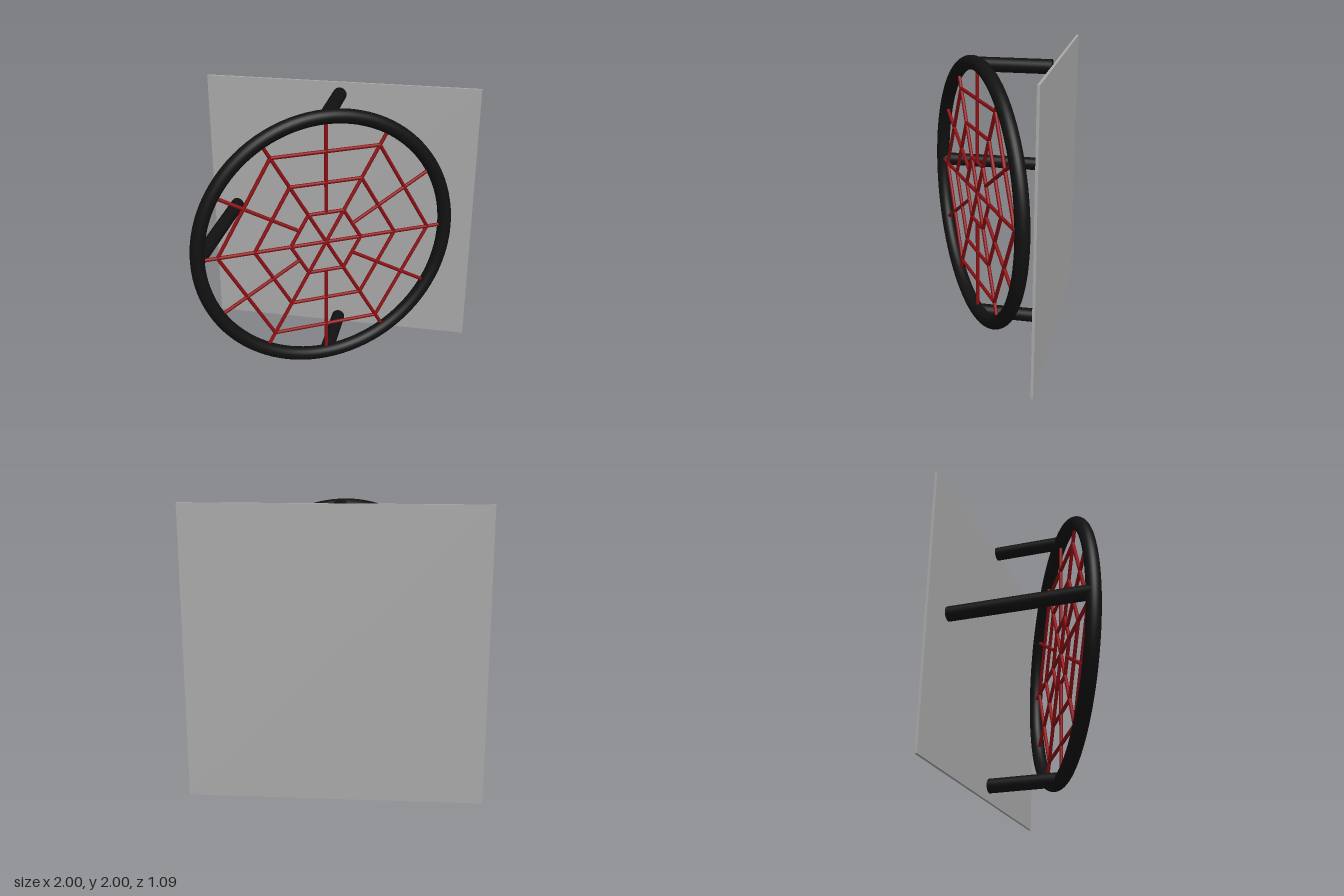
import * as THREE from 'three';

const RING_R = 0.925, TUBE_R = 0.05, ROD_R = 0.013, CENTER_Z = 0.035;

// Capped cylinder running from point a to point b
function rod(a, b, radius, material, name, sides = 16) {
  const dir = b.clone().sub(a);
  const mesh = new THREE.Mesh(new THREE.CylinderGeometry(radius, radius, dir.length(), sides), material);
  mesh.position.copy(a).add(b).multiplyScalar(0.5);
  mesh.quaternion.setFromUnitVectors(new THREE.Vector3(0, 1, 0), dir.normalize());
  mesh.name = name;
  return mesh;
}

// Point in the plane of the ring
function polar(r, degrees) {
  const a = THREE.MathUtils.degToRad(degrees);
  return new THREE.Vector3(r * Math.cos(a), r * Math.sin(a), 0);
}

export function createModel() {
  const black = new THREE.MeshStandardMaterial({ name: 'black tube', color: 0x111111 });
  const red = new THREE.MeshStandardMaterial({ name: 'dark red', color: 0x8b0f13 });
  const grey = new THREE.MeshStandardMaterial({ name: 'wall grey', color: 0xaaaaaa });
  const model = new THREE.Group();
  model.name = 'wallWeb';

  // Thin square wall panel
  const wall = new THREE.Mesh(new THREE.BoxGeometry(2, 2, 0.018), grey);
  wall.position.set(0, 1, -0.537);
  wall.name = 'wallPanel';
  model.add(wall);

  // Ring and web, turned 30 degrees away from the wall
  const web = new THREE.Group();
  web.name = 'tiltedWeb';
  web.position.set(0, 1, CENTER_Z);
  web.rotation.y = Math.PI / 6;
  model.add(web);

  const ring = new THREE.Mesh(new THREE.TorusGeometry(RING_R, TUBE_R, 24, 96), black);
  ring.name = 'outerRing';
  web.add(ring);

  // Long spokes meet at the centre, short ones start at the inner hexagon
  for (let i = 0; i < 6; i++) {
    web.add(rod(polar(0, 0), polar(0.89, i * 60), ROD_R, red, 'longSpoke'));
    web.add(rod(polar(0.22, i * 60 + 30), polar(0.89, i * 60 + 30), ROD_R, red, 'shortSpoke'));
  }

  // Three nested hexagons
  for (const r of [0.262, 0.524, 0.786]) {
    for (let i = 0; i < 6; i++) {
      web.add(rod(polar(r, i * 60), polar(r, i * 60 + 60), ROD_R, red, 'webStrand'));
    }
  }

  // Support legs reaching back towards the wall
  const left = -RING_R * Math.cos(Math.PI / 6);
  for (const [x, y, z, name] of [
    [left, 1, CENTER_Z + RING_R / 2, 'sideLeg'],
    [0, 1 + RING_R, CENTER_Z, 'topLeg'],
    [0, 1 - RING_R, CENTER_Z, 'bottomLeg'],
  ]) {
    model.add(rod(new THREE.Vector3(x, y, z), new THREE.Vector3(x, y, -0.48), TUBE_R, black, name, 32));
  }
  return model;
}
